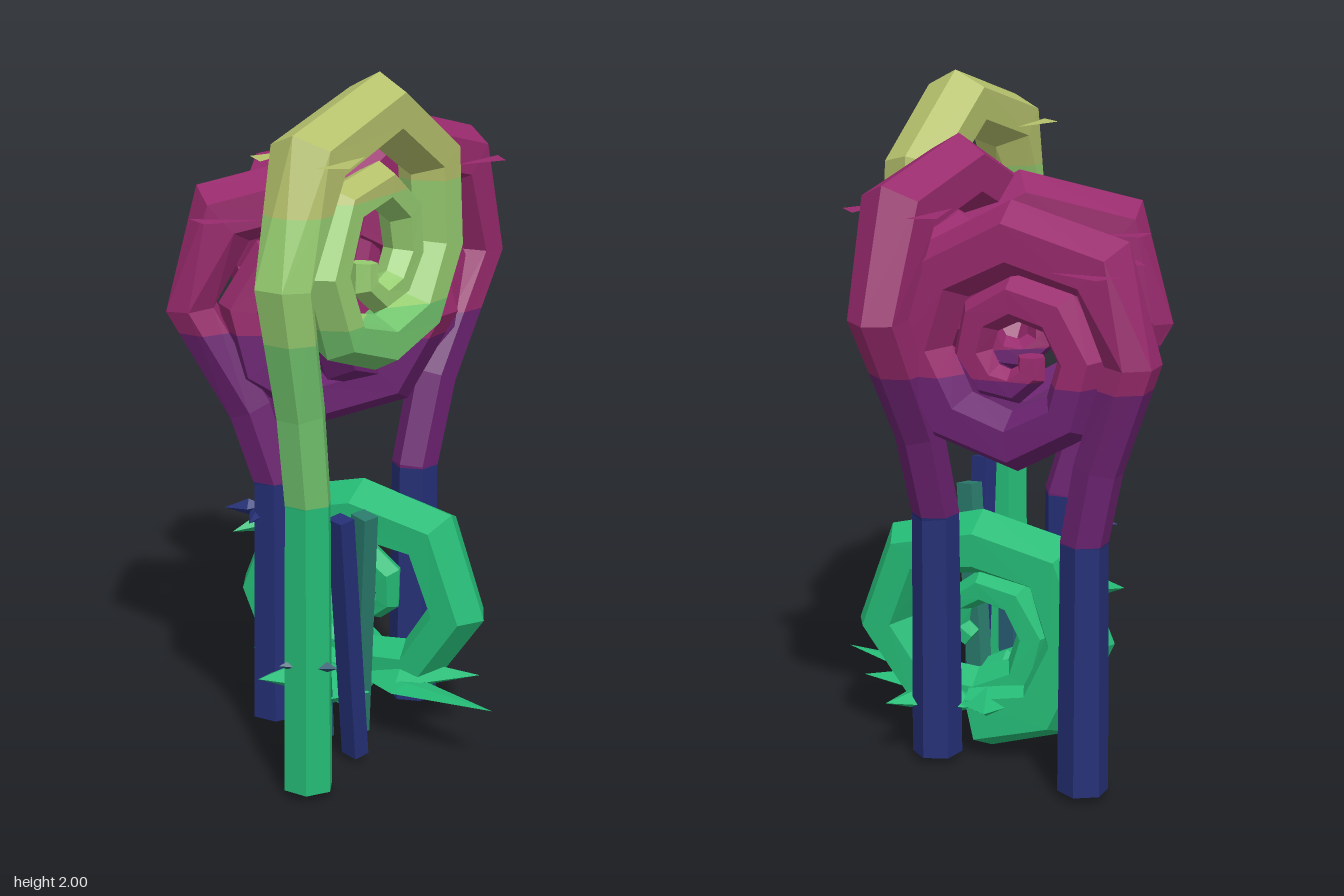
import * as THREE from 'three';

const mat = (name, color) => {
  const m = new THREE.MeshStandardMaterial({ color, flatShading: true, side: THREE.DoubleSide });
  m.name = name;
  return m;
};

export function createModel() {
  const root = new THREE.Group();
  root.name = 'curledFernCluster';
  const green = mat('emerald', 0x25bb76);
  const mid = mat('leafGreen', 0x70c26c);
  const lime = mat('lime', 0x96cc70);
  const olive = mat('olive', 0xb4c06b);
  const navy = mat('navy', 0x242f75);
  const purple = mat('purple', 0x6b2270);
  const magenta = mat('magenta', 0x982a6d);
  const teal = mat('teal', 0x27586f);
  const seaTeal = mat('seaTeal', 0x2a7a6c);
  const V = (x, y, z) => new THREE.Vector3(x, y, z);

  const addTriangles = (parent, name, pts, material) => {
    if (!pts.length) return;
    const g = new THREE.BufferGeometry().setFromPoints(pts);
    g.computeVertexNormals();
    const m = new THREE.Mesh(g, material);
    m.name = name;
    parent.add(m);
  };

  // Keep the part of a polygon above (sign 1) or below (sign -1) a height
  const clip = (poly, h, sign) => {
    const out = [];
    poly.forEach((a, i) => {
      const b = poly[(i + 1) % poly.length];
      const da = (a.y - h) * sign, db = (b.y - h) * sign;
      if (da >= 0) out.push(a);
      if (da * db < 0) out.push(a.clone().lerp(b, da / (da - db)));
    });
    return out;
  };

  // Six-sided tube through rings {p, r, flat, turn}, lying in the plane with normal n
  const tubeFaces = (path, n) => {
    const rings = path.map(({ p, r, flat, turn }, i) => {
      const a = path[Math.max(i - 1, 0)].p, b = path[Math.min(i + 1, path.length - 1)].p;
      const t1 = p.clone().sub(a).normalize(), t2 = b.clone().sub(p).normalize();
      const t = t1.add(t2).normalize();
      const o = n.clone().cross(t);
      return Array.from({ length: 6 }, (_, j) => {
        const k = j * Math.PI / 3 + turn;
        return p.clone().addScaledVector(o, Math.cos(k) * r * flat).addScaledVector(n, Math.sin(k) * r);
      });
    });
    const faces = [rings[0].slice().reverse(), rings[rings.length - 1]];
    for (let i = 0; i + 1 < rings.length; i++) {
      for (let j = 0; j < 6; j++) {
        const k = (j + 1) % 6, a = rings[i], b = rings[i + 1];
        faces.push([a[j], a[k], b[k]], [a[j], b[k], b[j]]);
      }
    }
    return faces;
  };

  // Split faces into horizontal colour bands
  const addBands = (parent, faces, heights, mats) => mats.forEach((m, i) => {
    const pts = [];
    faces.forEach((f) => {
      let poly = f;
      if (i > 0) poly = clip(poly, heights[i - 1], 1);
      if (i < heights.length) poly = clip(poly, heights[i], -1);
      for (let k = 1; k + 1 < poly.length; k++) pts.push(poly[0], poly[k], poly[k + 1]);
    });
    addTriangles(parent, `${m.name}Band`, pts, m);
  });

  // A frond: straight stem, bend, then an inward spiral of 45 degree steps
  const frond = ({ name, c, u, radii, tube, flat, stem, bend, start = 0, turn = 0, heights, mats, blade }) => {
    const g = new THREE.Group();
    g.name = name;
    root.add(g);
    const dir = V(u[0], 0, u[1]).normalize();
    const n = V(-dir.z, 0, dir.x);
    const at = (s, y) => V(c[0], y, c[2]).addScaledVector(dir, s);
    const path = [];
    if (stem !== undefined) {
      path.push({ p: at(stem, 0.02), r: 0.074, flat: 1, turn }, { p: at(stem, bend), r: 0.069, flat: 1, turn });
      path.push({ p: at(stem + (radii[0] - stem) * 0.29, bend + (c[1] - bend) * 0.42), r: 0.072, flat: 1, turn });
    }
    radii.forEach((rad, i) => {
      const a = (i + start) * Math.PI / 4, f = i / (radii.length - 1);
      const first = i === 0 && stem !== undefined;
      path.push({
        p: at(rad * Math.cos(a), c[1] + rad * Math.sin(a)),
        r: first ? 0.088 : tube + (0.04 - tube) * f, flat: first ? 0.9 : flat, turn: first ? turn : 0,
      });
    });
    addBands(g, tubeFaces(path, n), heights, mats);
    // Flat pointed blades on both sides of the curl
    if (blade) [-1, 1].forEach((side) => {
      const { p } = path[4];
      const edge = (s, w) => p.clone().addScaledVector(dir, s).addScaledVector(n, side * w);
      addTriangles(g, 'sideBlade', [edge(-0.12, 0.1), edge(0.09, 0.09), edge(0.04, 0.16)], blade);
    });
  };

  // Three purple fronds
  const curl = [1, 1.05, 0.94, 0.88, 0.82, 0.76, 0.71, 0.65, 0.58, 0.52, 0.46, 0.41, 0.36, 0.31, 0.26, 0.2, 0.14];
  const dark = {
    heights: [0.76, 1.21], mats: [navy, purple, magenta], blade: magenta,
    bend: 0.76, tube: 0.115, flat: 1, turn: Math.PI / 6,
  };
  const scaled = (R) => curl.map((k) => k * R);
  frond({ ...dark, name: 'rightFrond', c: [-0.23, 1.28, -0.27], u: [-0.95, 0.3], radii: scaled(0.35), stem: 0.21 });
  frond({ ...dark, name: 'frontFrond', c: [0.02, 1.28, 0.06], u: [-0.67, 0.74], radii: scaled(0.37), stem: 0.13 });
  frond({ ...dark, name: 'backFrond', c: [0.1, 1.38, -0.14], u: [-0.13, -0.99], radii: scaled(0.39), stem: 0.12, turn: 0 });

  // Tall green frond
  frond({
    name: 'leftFrond', c: [0.31, 1.48, 0.1], u: [0.26, 0.965],
    radii: [0.44, 0.46, 0.42, 0.36, 0.28, 0.26, 0.24, 0.26, 0.26, 0.25, 0.21, 0.17, 0.14, 0.12, 0.11, 0.09, 0.06],
    tube: 0.115, flat: 0.92, stem: 0.33, bend: 0.86, turn: Math.PI / 6,
    heights: [0.86, 1.33, 1.67], mats: [green, mid, lime, olive], blade: olive,
  });

  // Low thick curl resting on the ground
  frond({
    name: 'groundCurl', c: [0.05, 0.37, -0.09], u: [-0.93, 0.36],
    radii: [0.25, 0.29, 0.3, 0.31, 0.27, 0.32, 0.31, 0.26, 0.2, 0.19, 0.17, 0.15, 0.13, 0.11, 0.08, 0.05],
    tube: 0.145, flat: 0.85, start: -2, heights: [], mats: [green],
  });

  // Flat rosette of pointed leaves, each a shallow folded diamond
  const rosette = new THREE.Group();
  rosette.name = 'rosette';
  root.add(rosette);
  const leaf = (parent, name, a, b, width, lift, m) => {
    const along = b.clone().sub(a);
    const across = V(-along.z, 0, along.x).normalize().multiplyScalar(width);
    const middle = a.clone().lerp(b, 0.4);
    const l = middle.clone().add(across), r = middle.clone().sub(across);
    const top = middle.clone().add(V(0, lift, 0)), low = middle.clone().sub(V(0, lift, 0));
    addTriangles(parent, name, [a, l, top, l, b, top, b, r, top, r, a, top,
      l, a, low, b, l, low, r, b, low, a, r, low], m);
  };
  [[0.62, -0.08, 0.07, 0.012], [0.22, 0.32, 0.13, 0.06], [0.0, 0.28, 0.13, 0.06], [-0.21, 0.13, 0.12, 0.06],
    [-0.1, -0.26, 0.13, 0.06], [0.18, -0.38, 0.14, 0.06], [0.4, -0.24, 0.11, 0.05]].forEach(([x, z, w, lift]) =>
    leaf(rosette, 'rosetteLeaf', V(0.08, 0.15, -0.02), V(x, 0.18, z), w, lift, green));

  // Small stray leaves beside the stems
  [[[0.4, 0.39, 0.42], [0.5, 0.4, 0.4], teal], [[0.4, 0.39, 0.42], [0.38, 0.4, 0.51], teal],
    [[-0.13, 0.66, 0.14], [-0.05, 0.65, 0.27], navy], [[-0.1, 0.67, 0.17], [-0.19, 0.66, 0.25], navy],
    [[0.05, 0.57, -0.2], [0.16, 0.57, -0.28], teal],
    [[-0.28, 0.55, 0.0], [-0.32, 0.52, 0.12], green]].forEach(([a, b, m]) =>
    leaf(root, 'strayLeaf', V(...a), V(...b), 0.03, 0.025, m));

  // Slim leaning shoots
  [[[0.2, 0.03, 0.07], [0.29, 0.73, 0.12], seaTeal], [[0.31, 0.02, 0.17], [0.36, 0.77, 0.27], navy],
    [[0.18, 0.04, 0.19], [0.26, 0.52, 0.28], teal]].forEach(([a, b, m]) => {
    const from = V(...a), to = V(...b), d = to.clone().sub(from);
    const shoot = new THREE.Mesh(new THREE.BoxGeometry(0.06, d.length(), 0.05), m);
    shoot.position.copy(from).lerp(to, 0.5);
    shoot.quaternion.setFromUnitVectors(V(0, 1, 0), d.normalize());
    shoot.name = 'shoot';
    root.add(shoot);
  });

  return root;
}
